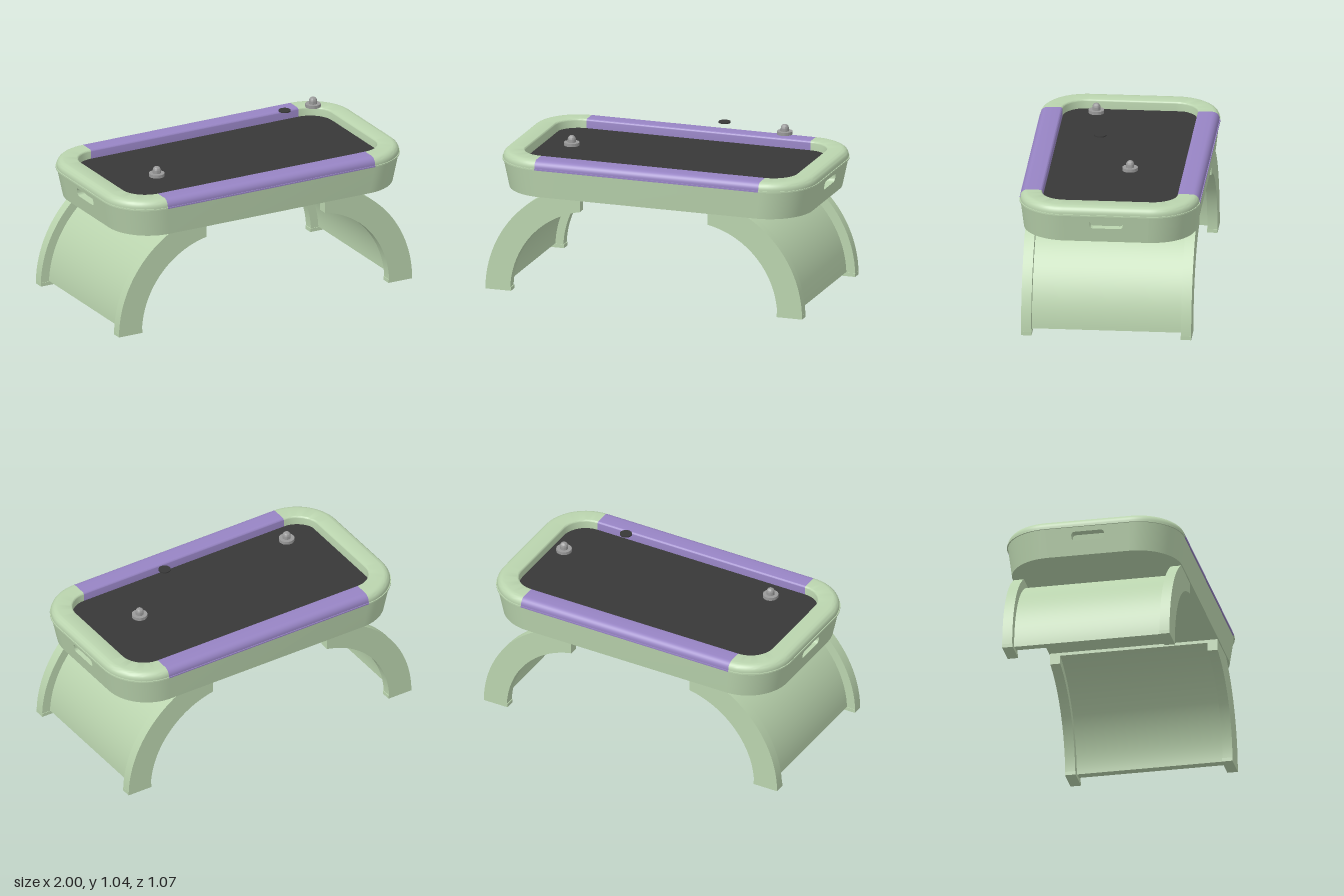
import * as THREE from 'three';
import { toCreasedNormals } from 'three/addons/utils/BufferGeometryUtils.js';

const material = (color) => new THREE.MeshStandardMaterial({ color });
const green = material(0xbad4ae);
const purple = material(0x9784c4);
const dark = material(0x383838);
const grey = material(0x999999);

// Table outline: rounded rectangle given by its corner centres and radius
const CX = 0.70, CZ = 0.255, R = 0.28;
const BOTTOM = 0.595, LIP = 0.768, TOP = 0.82;

function mesh(name, geometry, mat, parent) {
  const m = new THREE.Mesh(geometry, mat);
  m.name = name;
  parent.add(m);
  return m;
}

// Outline stations [x, z, normalX, normalZ] round the listed corners (0 = +x+z, 1 = -x+z, ...)
function corners(...list) {
  const out = [];
  for (const q of list) {
    const sx = q === 0 || q === 3 ? 1 : -1, sz = q < 2 ? 1 : -1;
    for (let i = 0; i <= 16; i++) {
      const t = (q + i / 16) * Math.PI / 2, c = Math.cos(t), s = Math.sin(t);
      out.push([sx * CX + R * c, sz * CZ + R * s, c, s]);
    }
  }
  return out;
}

// Sweep a profile of [inset, y] points along outline stations
function sweep(profile, path) {
  const pos = [], idx = [], n = profile.length;
  for (const [x, z, nx, nz] of path) {
    for (const [inset, y] of profile) pos.push(x - nx * inset, y, z - nz * inset);
  }
  for (let i = 0; i < path.length - 1; i++) {
    for (let j = 0; j < n - 1; j++) {
      const a = i * n + j, b = a + 1, c = a + n, d = c + 1;
      idx.push(a, b, c, b, d, c);
    }
  }
  const g = new THREE.BufferGeometry();
  g.setAttribute('position', new THREE.Float32BufferAttribute(pos, 3));
  g.setIndex(idx);
  return toCreasedNormals(g, 0.6);
}

// Flat slab filling the outline at an inset
function slab(inset, top, thickness, minX = -2) {
  const pts = corners(0, 1, 2, 3).map(([x, z, nx, nz]) =>
    new THREE.Vector2(Math.max(minX, x - nx * inset), z - nz * inset));
  const g = new THREE.ExtrudeGeometry(new THREE.Shape(pts), { depth: thickness, bevelEnabled: false });
  return g.rotateX(Math.PI / 2).translate(0, top, 0);
}

// Narrow the body towards its underside
function taper(g) {
  const p = g.attributes.position;
  for (let i = 0; i < p.count; i++) {
    const f = 0.964 + 0.036 * (p.getY(i) - BOTTOM) / (LIP - BOTTOM);
    p.setX(i, p.getX(i) * f);
    p.setZ(i, p.getZ(i) * f);
  }
  g.computeVertexNormals();
  return toCreasedNormals(g, 0.6);
}

// End wall with a rounded handle slot
function endWall() {
  const wall = new THREE.Shape([[-CZ, BOTTOM], [CZ, BOTTOM], [CZ, LIP], [-CZ, LIP]]
    .map(([x, y]) => new THREE.Vector2(x, y)));
  const slot = new THREE.Path(), r = 0.02, w = 0.1, y0 = 0.683, y1 = 0.736;
  slot.absarc(w - r, y1 - r, r, Math.PI / 2, 0, true);
  slot.absarc(w - r, y0 + r, r, 0, -Math.PI / 2, true);
  slot.absarc(-w + r, y0 + r, r, -Math.PI / 2, -Math.PI, true);
  slot.absarc(-w + r, y1 - r, r, Math.PI, Math.PI / 2, true);
  slot.closePath();
  wall.holes.push(slot);
  const g = new THREE.ExtrudeGeometry(wall, { depth: 0.05, bevelEnabled: false, curveSegments: 6 });
  return taper(g.rotateY(Math.PI / 2).translate(CX + R - 0.056, 0, 0));
}

// Curved leg band between two radii, cut off flat under the table
function arcBand(r0, r1, startY, width) {
  const centre = 0.3, end = 0.1, steps = 40;
  const arc = (r) => Array.from({ length: steps + 1 }, (_, i) => {
    const a = THREE.MathUtils.lerp(Math.asin(startY / r), Math.acos(end / r), i / steps);
    return new THREE.Vector2(centre + r * Math.cos(a), Math.min(r * Math.sin(a), BOTTOM + 0.005));
  });
  const shape = new THREE.Shape([...arc(r1), ...arc(r0).reverse()]);
  const g = new THREE.ExtrudeGeometry(shape, { depth: width, bevelEnabled: false });
  return toCreasedNormals(g.translate(0, 0, -width / 2), 0.5);
}

function createTable() {
  const table = new THREE.Group();
  table.name = 'table';

  // Tapered body
  const side = [[0.006, BOTTOM], [0.006, LIP]];
  mesh('frontBody', taper(sweep(side, corners(0, 1))), green, table);
  mesh('backBody', taper(sweep(side, corners(2, 3))), green, table);
  mesh('underside', taper(slab(0.006, BOTTOM + 0.01, 0.01)), green, table);
  for (const [name, turn] of [['left', 0], ['right', Math.PI]]) {
    mesh(name + 'EndWall', endWall(), green, table).rotation.y = turn;
    const back = new THREE.BoxGeometry(0.01, 0.09, 0.26).translate(CX + R - 0.061, 0.71, 0);
    mesh(name + 'HandleRecess', taper(back), green, table).rotation.y = turn;
  }

  // Rounded rim with a thin lip below it
  const rim = [[0.135, LIP - 0.004], [0, LIP - 0.004], [0, LIP + 0.004], [0.005, LIP + 0.004]];
  for (let i = 0; i <= 8; i++) {
    const a = (i / 8) * Math.PI / 2;
    rim.push([0.047 - 0.042 * Math.cos(a), TOP - 0.042 + 0.042 * Math.sin(a)]);
  }
  for (let i = 0; i <= 4; i++) {
    const a = (i / 4) * Math.PI / 2;
    rim.push([0.123 + 0.012 * Math.sin(a), TOP - 0.012 + 0.012 * Math.cos(a)]);
  }
  rim.push([0.135, 0.74]);
  mesh('leftRim', sweep(rim, corners(3, 0)), green, table);
  mesh('rightRim', sweep(rim, corners(1, 2)), green, table);
  const straight = (a, b) => [corners(a).at(-1), corners(b)[0]];
  mesh('frontRail', sweep(rim, straight(0, 1)), purple, table);
  mesh('backRail', sweep(rim, straight(2, 3)), purple, table);

  // Playing field, leaving a narrow goal gap at one end
  mesh('fieldBase', slab(0.12, 0.745, 0.01), green, table);
  mesh('playingField', slab(0.135, 0.765, 0.015, -0.837), dark, table);
  table.position.x = 0.015;
  return table;
}

function createLeg(name) {
  const leg = new THREE.Group();
  leg.name = name;
  mesh('legPanel', arcBand(0.585, 0.635, 0.025, 0.89), green, leg);
  for (const s of [1, -1]) {
    mesh('legArch', arcBand(0.535, 0.69, 0.02, 0.06), green, leg).position.z = s * 0.474;
    mesh('foot', new THREE.BoxGeometry(0.16, 0.022, 0.063), green, leg)
      .position.set(0.91, 0.011, s * 0.4725);
  }
  return leg;
}

// Mallet: flat disc with a domed knob
function malletGeometry() {
  const pts = [[0, 0], [0.046, 0], [0.046, 0.019], [0.024, 0.019]];
  for (let i = 0; i <= 10; i++) {
    const a = (i / 10) * Math.PI / 2;
    pts.push([i === 10 ? 0 : 0.024 * Math.cos(a), 0.037 + 0.024 * Math.sin(a)]);
  }
  return toCreasedNormals(new THREE.LatheGeometry(pts.map(([x, y]) => new THREE.Vector2(x, y)), 36), 0.6);
}

export function createModel() {
  const model = new THREE.Group();
  model.name = 'airHockeyTable';
  model.add(createTable());

  const legs = new THREE.Group();
  legs.name = 'legs';
  const left = createLeg('leftLeg'), right = createLeg('rightLeg');
  right.rotation.y = Math.PI;
  legs.add(left, right);
  legs.position.x = -0.01;
  model.add(legs);

  // Loose playing pieces
  mesh('rightMallet', malletGeometry(), grey, model).position.set(-0.57, 0.836, 0.19);
  mesh('leftMallet', malletGeometry(), grey, model).position.set(0.655, 0.939, -0.115);
  mesh('puck', new THREE.CylinderGeometry(0.036, 0.036, 0.007, 36), dark, model)
    .position.set(0.35, 1.04, 0.088);
  return model;
}
